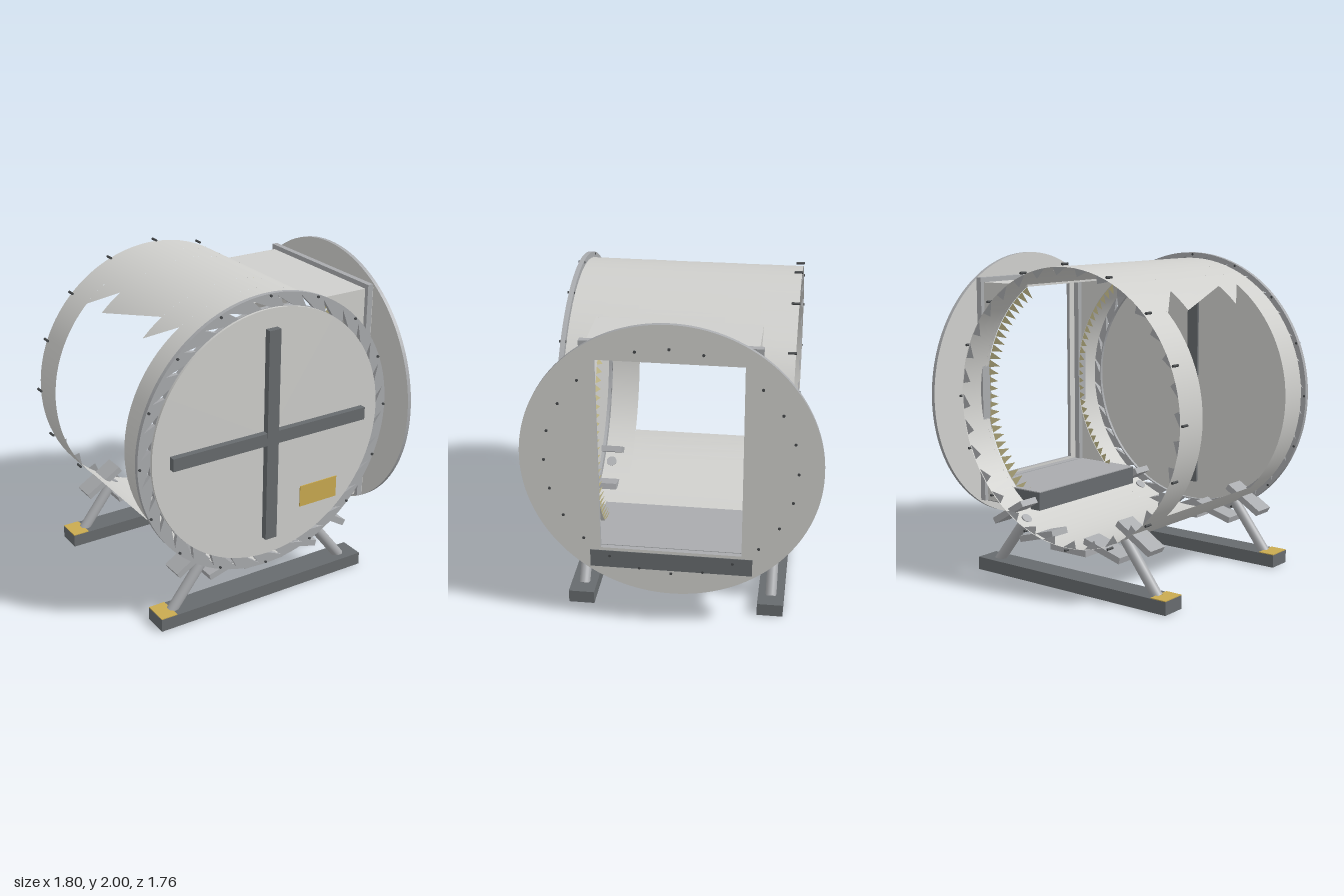
import * as THREE from 'three';

const CX = -0.02, CY = 1.12, R = 0.845;
const rad = THREE.MathUtils.degToRad;
const mat = (name, color, side = THREE.FrontSide) => {
  const m = new THREE.MeshStandardMaterial({ color, side });
  m.name = name;
  return m;
};

export function createModel() {
  const model = new THREE.Group();
  model.name = 'drumChamber';
  const shell = mat('shellGrey', 0xcfcfcc, THREE.DoubleSide);
  const steel = mat('steelGrey', 0xa9abae, THREE.DoubleSide);
  const dark = mat('darkGrey', 0x676b6e);
  const yellow = mat('yellow', 0xc9aa50);
  const tan = mat('paleYellow', 0xc6bd8c, THREE.DoubleSide);
  const black = mat('boltGrey', 0x45484a);

  const add = (name, geo, material, x = 0, y = 0, z = 0) => {
    const m = new THREE.Mesh(geo, material);
    m.name = name;
    m.position.set(x, y, z);
    model.add(m);
    return m;
  };
  // box given by its limits on each axis
  const box = (name, material, x0, x1, y0, y1, z0, z1) =>
    add(name, new THREE.BoxGeometry(x1 - x0, y1 - y0, z1 - z0), material,
      (x0 + x1) / 2, (y0 + y1) / 2, (z0 + z1) / 2);
  const extrude = (shape, depth) =>
    new THREE.ExtrudeGeometry(shape, { depth, bevelEnabled: false, curveSegments: 64 });
  const polygon = (pts, Type = THREE.Shape) => new Type(pts.map(p => new THREE.Vector2(...p)));
  const rect = (x0, x1, y0, y1, Type) => polygon([[x0, y0], [x1, y0], [x1, y1], [x0, y1]], Type);
  const polar = (r, a) => [r * Math.cos(a), r * Math.sin(a)];

  // curved drum patch; its second angle may change from z0 to z1
  const drumPatch = (name, a0, a1Start, a1End, z0, z1) => {
    const n = Math.ceil(Math.abs(a1Start - a0) / 4);
    const g = new THREE.PlaneGeometry(1, 1, n, 1);
    const p = g.attributes.position, nor = g.attributes.normal;
    for (let i = 0; i < p.count; i++) {
      const u = p.getX(i) + 0.5, v = p.getY(i) + 0.5;
      const a = rad(a0 + u * (a1Start + (a1End - a1Start) * v - a0));
      p.setXYZ(i, CX + R * Math.cos(a), CY + R * Math.sin(a), z0 + v * (z1 - z0));
      nor.setXYZ(i, Math.cos(a), Math.sin(a), 0);
    }
    // u runs anticlockwise and v forward, so flip to face outward
    const idx = g.index.array;
    for (let i = 0; i < idx.length; i += 3) [idx[i + 1], idx[i + 2]] = [idx[i + 2], idx[i + 1]];
    const m = add(name, g, shell);
    // normals must agree with the winding for double-sided shading
    const v = [0, 1, 2].map(k => new THREE.Vector3().fromBufferAttribute(p, idx[k]));
    const face = v[1].sub(v[0]).cross(v[2].sub(v[0]));
    if (face.dot(new THREE.Vector3().fromBufferAttribute(nor, idx[0])) < 0)
      for (let i = 0; i < idx.length; i += 3) [idx[i + 1], idx[i + 2]] = [idx[i + 2], idx[i + 1]];
    return m;
  };

  // drum: end bands, toothed roof and floor between the two side openings
  drumPatch('drumBackBand', 0, 360, 360, -0.68, -0.46);
  drumPatch('drumFrontBand', 0, 360, 360, 0.45, 0.66);
  for (const [z0, z1] of [[-0.46, -0.26], [-0.26, 0.25], [0.25, 0.45]])
    drumPatch('drumRoof', 57.2, 135.2, 123.8, z0, z1);
  drumPatch('drumFloor', 224.8, 302.8, 302.8, -0.46, 0.45);

  // front cover with cross bars and plate
  const cover = add('frontCover', new THREE.CylinderGeometry(0.797, 0.797, 0.024, 96), shell, CX, CY, 0.672);
  cover.rotation.x = Math.PI / 2;
  box('crossBarVertical', dark, -0.06, 0.02, 0.445, 1.8, 0.645, 0.725);
  box('crossBarHorizontal', dark, -0.7, 0.66, 1.08, 1.16, 0.67, 0.724);
  box('coverPlate', yellow, 0.215, 0.49, 0.58, 0.72, 0.683, 0.69);

  // bladed front ring with slanted triangular gaps
  const COUNT = 32, step = Math.PI * 2 / COUNT;
  const ring = new THREE.Shape();
  ring.absarc(0, 0, 0.88, 0, Math.PI * 2);
  const inner = new THREE.Path();
  inner.absarc(0, 0, 0.792, 0, Math.PI * 2, true);
  ring.holes.push(inner);
  for (let i = 0; i < COUNT; i++) {
    const a = i * step;
    ring.holes.push(polygon([polar(0.8, a), polar(0.8, a + 0.075), polar(0.862, a + 0.14)], THREE.Path));
  }
  add('frontRing', extrude(ring, 0.028), steel, CX, CY, 0.64);

  // flat strip of triangular teeth
  const teeth = (name, material, list) => {
    const g = new THREE.BufferGeometry();
    g.setAttribute('position', new THREE.Float32BufferAttribute(list.flat(2), 3));
    g.computeVertexNormals();
    add(name, g, material);
  };
  const at = (r, a, z) => [CX + r * Math.cos(a), CY + r * Math.sin(a), z];
  const backTeeth = [];
  for (let i = 0; i < COUNT; i++) {
    const a = i * step;
    backTeeth.push([at(R, a + 0.1, -0.675), at(R, a + 0.22, -0.675), at(0.795, a + 0.12, -0.665)]);
  }
  teeth('backRimTeeth', steel, backTeeth);
  // teeth along both edges of the duct opening
  for (const s of [-1, 1]) {
    const list = [];
    for (let i = 0; i < 30; i++) {
      const a = rad(-55 + i * 3.67), z = s * 0.455;
      list.push([at(R, a, z), at(R, a + 0.06, z), at(0.775, a + 0.03, z - s * 0.025)]);
    }
    teeth('openingTeeth', tan, list);
  }

  // rim bolts at both ends
  for (let i = 0; i < 16; i++) {
    const a = i * Math.PI / 8;
    for (const [z, r, len] of [[-0.66, 0.862, 0.05], [0.658, 0.868, 0.04]]) {
      const [x, y] = polar(r, a);
      const b = add('rimBolt', new THREE.CylinderGeometry(0.008, 0.008, len, 8), black, CX + x, CY + y, z);
      b.rotation.x = Math.PI / 2;
    }
  }

  // side duct: roof, base and two walls cut to the drum curve
  box('ductRoof', shell, 0.435, 0.87, 1.818, 1.83, -0.485, 0.485);
  box('ductBase', shell, 0.435, 0.87, 0.408, 0.42, -0.485, 0.485);
  const wall = [[0.87, 1.83], [0.87, 0.41]];
  for (let i = 0; i <= 24; i++) {
    const [x, y] = polar(R, rad(-57.2 + i * 114.4 / 24));
    wall.push([CX + x, CY + y]);
  }
  for (const z of [-0.487, 0.475]) add('ductWall', extrude(polygon(wall), 0.012), shell, 0, 0, z);

  // duct collar and round flange with a rectangular window
  const sideways = (name, shape, depth, material, x, y) => {
    add(name, extrude(shape, depth), material, x, y, 0).rotation.y = Math.PI / 2;
  };
  const collar = rect(-0.515, 0.515, 0.41, 1.86);
  collar.holes.push(rect(-0.44, 0.44, 0.53, 1.78, THREE.Path));
  sideways('ductCollar', collar, 0.037, steel, 0.807, 0);
  const flange = new THREE.Shape();
  flange.absarc(0, 0, 0.88, 0, Math.PI * 2);
  flange.holes.push(rect(-0.42, 0.42, -0.58, 0.65, THREE.Path));
  sideways('flange', flange, 0.024, [shell, steel], 0.87, CY);

  // flange bolts, skipping those that would fall in the window
  for (let i = 0; i < 24; i++) {
    const [z, y] = polar(0.735, i * Math.PI / 12);
    if (Math.abs(z) < 0.42 && y > -0.58 && y < 0.65) continue;
    const b = add('flangeBolt', new THREE.CylinderGeometry(0.009, 0.009, 0.012, 8), black, 0.893, CY + y, z);
    b.rotation.z = Math.PI / 2;
  }

  // loading floor running through the duct
  box('loadingFloor', dark, 0.36, 0.897, 0.405, 0.52, -0.485, 0.485);
  box('loadingFloorPlate', steel, 0.36, 0.868, 0.52, 0.526, -0.484, 0.484);

  // skids, slanted legs and saddle pads
  for (const s of [-1, 1]) {
    const z = s * 0.59;
    box('skid', dark, -0.763, 0.723, 0, 0.082, z - 0.08, z + 0.08);
    box('skidPad', yellow, -0.762, -0.655, 0.082, 0.087, z - 0.079, z + 0.079);
    for (const side of [-1, 1]) {
      const a = new THREE.Vector3(CX + side * 0.63, 0.07, z);
      const b = new THREE.Vector3(CX + side * 0.39, 0.38, z);
      const leg = add('leg', new THREE.CylinderGeometry(0.034, 0.034, a.distanceTo(b), 20), steel);
      leg.position.copy(a).add(b).multiplyScalar(0.5);
      leg.quaternion.setFromUnitVectors(new THREE.Vector3(0, 1, 0), b.sub(a).normalize());
    }
    for (let i = -2; i <= 2; i++) {
      const a = rad(i * 17.5);
      const pad = add('saddlePad', new THREE.BoxGeometry(0.28, 0.04, 0.14), steel,
        CX + 0.865 * Math.sin(a), CY - 0.865 * Math.cos(a), s * 0.585);
      pad.rotation.z = -a * 0.9;
    }
  }
  return model;
}
